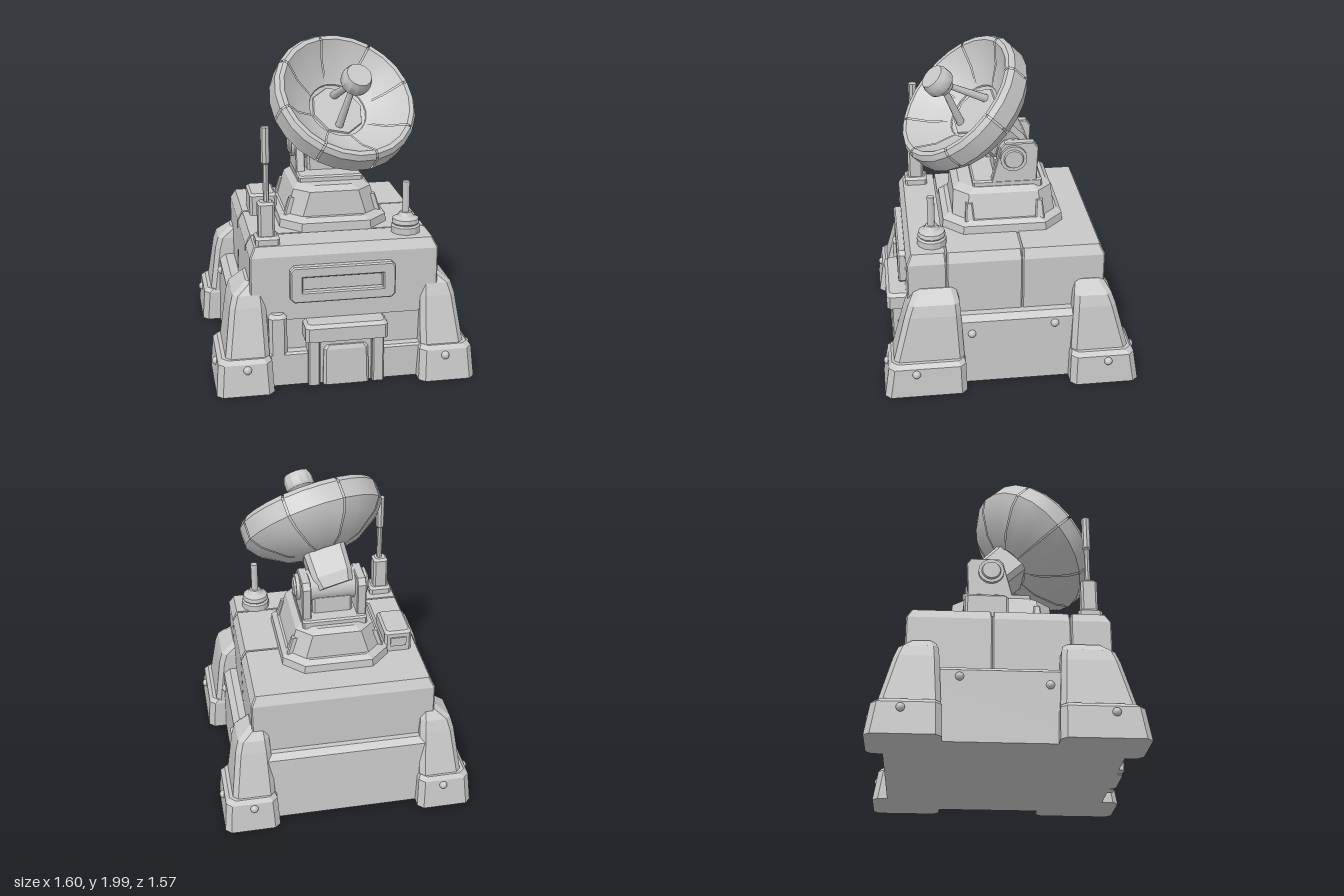
import * as THREE from 'three';
import { toCreasedNormals } from 'three/addons/utils/BufferGeometryUtils.js';

const grey = new THREE.MeshStandardMaterial({ color: 0xc8c8c8, side: THREE.DoubleSide });
grey.name = 'lightGrey';

function add(parent, name, geometry, x = 0, y = 0, z = 0) {
  const mesh = new THREE.Mesh(geometry, grey);
  mesh.name = name;
  mesh.position.set(x, y, z);
  parent.add(mesh);
  return mesh;
}

// Faceted solid through rectangles [y, xMin, xMax, zMin, zMax] with cut corners.
function loft(c, sections) {
  const rings = sections.map(([y, x0, x1, z0, z1]) => [
    [x1, z0 + c], [x1, z1 - c], [x1 - c, z1], [x0 + c, z1],
    [x0, z1 - c], [x0, z0 + c], [x0 + c, z0], [x1 - c, z0],
  ].map(([x, z]) => [x, y, z]));
  const p = [];
  for (let r = 0; r + 1 < rings.length; r++) {
    for (let i = 0; i < 8; i++) {
      const j = (i + 1) % 8, lo = rings[r], hi = rings[r + 1];
      p.push(...lo[i], ...hi[i], ...hi[j], ...lo[i], ...hi[j], ...lo[j]);
    }
  }
  const bottom = rings[0], top = rings[rings.length - 1];
  for (let i = 1; i < 7; i++) {
    p.push(...bottom[0], ...bottom[i], ...bottom[i + 1]);
    p.push(...top[0], ...top[i + 1], ...top[i]);
  }
  const g = new THREE.BufferGeometry();
  g.setAttribute('position', new THREE.Float32BufferAttribute(p, 3));
  g.computeVertexNormals();
  return g;
}

// Box with a beveled top edge.
function block(x0, x1, y0, y1, z0, z1, b = 0.012) {
  return loft(b, [[y0, x0, x1, z0, z1], [y1 - b, x0, x1, z0, z1],
    [y1, x0 + b, x1 - b, z0 + b, z1 - b]]);
}

function lathe(profile, segments, start = 0, length = Math.PI * 2) {
  const points = profile.map(([r, y]) => new THREE.Vector2(r, y));
  return toCreasedNormals(new THREE.LatheGeometry(points, segments, start, length), 0.5);
}

function bolt(parent, x, y, z) {
  add(parent, 'bolt', new THREE.SphereGeometry(0.026, 10, 8), x, y, z);
}

function rod(parent, name, from, to, r0, r1) {
  const a = new THREE.Vector3(...from), b = new THREE.Vector3(...to);
  const mesh = add(parent, name, new THREE.CylinderGeometry(r1, r0, a.distanceTo(b), 8));
  mesh.position.copy(a).add(b).multiplyScalar(0.5);
  mesh.quaternion.setFromUnitVectors(new THREE.Vector3(0, 1, 0), b.sub(a).normalize());
}

function buildBase(g) {
  add(g, 'lowerHull', loft(0.03, [[0, -0.67, 0.67, -0.69, 0.62], [0.43, -0.66, 0.66, -0.66, 0.61],
    [0.46, -0.62, 0.62, -0.62, 0.59]]));
  add(g, 'frontSkirt', block(-0.5, 0.5, 0, 0.21, 0.55, 0.68));
  // Upper hull in three panels, leaving fine seams between them
  for (const [z0, z1] of [[-0.585, -0.08], [-0.08, 0.38], [0.38, 0.62]]) {
    const end = z0 < -0.5 ? 0.03 : 0.006, front = z1 > 0.6 ? 0.03 : 0.006;
    add(g, 'upperHullPanel', loft(0.008, [[0.4, -0.565, 0.575, z0, z1],
      [0.8, -0.56, 0.575, z0, z1], [0.86, -0.53, 0.545, z0 + end, z1 - front]]));
  }
  // Corner legs and feet
  for (const s of [-1, 1]) {
    for (const [inner, outer, f] of [[0.28, 0.785, 1], [0.36, 0.785, -1]]) {
      const sec = (y, xa, xb, za, zb) => {
        const xs = [s * xa, s * xb].sort((a, b) => a - b);
        const zs = [f * za, f * zb].sort((a, b) => a - b);
        return [y, ...xs, ...zs];
      };
      add(g, 'foot', loft(0.035, [sec(0, 0.44, 0.785, inner, outer),
        sec(0.19, 0.45, 0.77, inner + 0.005, outer - 0.03),
        sec(0.215, 0.465, 0.745, inner + 0.015, outer - 0.05)]));
      add(g, 'leg', loft(0.03, [sec(0.2, 0.46, 0.725, inner + 0.01, 0.725),
        sec(0.5, 0.47, 0.685, inner + 0.025, 0.645),
        sec(0.57, 0.475, 0.665, inner + 0.03, 0.62),
        sec(0.64, 0.48, 0.58, inner + 0.05, 0.57)]));
      bolt(g, s * 0.6, 0.155, f * 0.757);
      bolt(g, s * 0.772, 0.155, f * 0.59);
    }
    bolt(g, s * 0.66, 0.35, 0.24);
    bolt(g, s * 0.66, 0.39, -0.27);
  }
}

function buildFront(g) {
  // Framed panel above the door
  const frame = new THREE.Shape();
  const w = 0.31, h = 0.105, c = 0.02;
  [[-w + c, -h], [w - c, -h], [w, -h + c], [w, h - c], [w - c, h], [-w + c, h], [-w, h - c], [-w, -h + c]]
    .forEach(([x, y], i) => (i ? frame.lineTo(x, y) : frame.moveTo(x, y)));
  frame.closePath();
  const hole = new THREE.Path();
  hole.moveTo(-0.25, -0.053).lineTo(-0.25, 0.053).lineTo(0.25, 0.053).lineTo(0.25, -0.053).closePath();
  frame.holes.push(hole);
  add(g, 'panelFrame', new THREE.ExtrudeGeometry(frame,
    { depth: 0.035, bevelThickness: 0.01, bevelSize: 0.008, bevelSegments: 1 }), -0.01, 0.63, 0.62);
  add(g, 'panelInset', new THREE.BoxGeometry(0.48, 0.09, 0.02), -0.01, 0.635, 0.622);

  // Doorway
  add(g, 'awning', block(-0.25, 0.25, 0.295, 0.4, 0.55, 0.745, 0.02));
  for (const s of [-1, 1]) add(g, 'doorPillar', block(s * 0.195 - 0.035, s * 0.195 + 0.035, 0, 0.3, 0.6, 0.715, 0.008));
  add(g, 'doorBacking', block(-0.16, 0.16, 0, 0.29, 0.6, 0.688, 0.005));
  add(g, 'door', loft(0.015, [[0, -0.14, 0.14, 0.62, 0.72], [0.225, -0.135, 0.135, 0.62, 0.71],
    [0.25, -0.115, 0.115, 0.62, 0.7]]));
  add(g, 'utilityBox', block(-0.46, -0.35, 0.19, 0.45, 0.58, 0.68, 0.02));
}

function buildRoof(g) {
  // Tall square-based antenna
  const tall = new THREE.Group();
  tall.name = 'tallAntenna';
  tall.position.set(-0.445, 0, 0.505);
  g.add(tall);
  add(tall, 'antennaFoot', block(-0.072, 0.072, 0.85, 0.91, -0.072, 0.072, 0.015));
  add(tall, 'antennaBox', block(-0.052, 0.045, 0.9, 1.115, -0.05, 0.05, 0.014));
  add(tall, 'antennaRod', lathe([[0, 1.1], [0.018, 1.1], [0.018, 1.34], [0.027, 1.35], [0.027, 1.56], [0, 1.56]], 8));

  // Short round-based antenna
  add(g, 'shortAntenna', lathe([[0.09, 0.85], [0.09, 0.9], [0.078, 0.91], [0.085, 0.92], [0.08, 0.945],
    [0.05, 0.96], [0.035, 0.985], [0.022, 0.985], [0.022, 1.175], [0, 1.175]], 12), 0.41, 0, 0.455);

  // Equipment box
  add(g, 'roofBox', block(-0.49, -0.32, 0.85, 1.0, -0.24, 0.02, 0.015));
  add(g, 'roofBoxVent', new THREE.BoxGeometry(0.1, 0.06, 0.014), -0.405, 0.93, -0.242);
}

function buildTurret(g) {
  add(g, 'turretRing', loft(0.12, [[0.85, -0.335, 0.335, -0.38, 0.375], [0.91, -0.33, 0.33, -0.375, 0.37],
    [0.935, -0.3, 0.3, -0.345, 0.335]]));
  add(g, 'turretBody', loft(0.09, [[0.92, -0.29, 0.29, -0.33, 0.31], [1.085, -0.24, 0.24, -0.31, 0.3],
    [1.115, -0.205, 0.205, -0.28, 0.26]]));
  for (const s of [-1, 1]) {
    for (const z of [-0.225, 0.21]) {
      add(g, 'turretRib', loft(0.008, [[0.92, s * 0.27 - 0.035, s * 0.27 + 0.035, z - 0.03, z + 0.03],
        [1.035, s * 0.245 - 0.025, s * 0.245 + 0.025, z - 0.02, z + 0.02]]));
    }
  }
  add(g, 'mountPlate', block(-0.2, 0.2, 1.1, 1.15, -0.25, 0.18, 0.01));

  // Yoke cheeks with round hubs
  const cheek = new THREE.Shape([[-0.065, 1.12], [0.21, 1.12], [0.22, 1.355], [0.195, 1.39], [0.02, 1.39], [-0.002, 1.365]]
    .map(([x, y]) => new THREE.Vector2(x, y)));
  for (const s of [-1, 1]) {
    const plate = new THREE.ExtrudeGeometry(cheek,
      { depth: 0.045, bevelThickness: 0.006, bevelSize: 0.006, bevelSegments: 1 });
    plate.rotateY(Math.PI / 2);
    add(g, 'yokeCheek', plate, s * 0.17 - 0.0225, 0, 0);
    const hub = add(g, 'yokeHub', lathe([[0.082, 0], [0.082, 0.03], [0.062, 0.03], [0.056, 0.042], [0, 0.042]], 16),
      s * 0.19, 1.3, -0.07);
    hub.rotation.z = -s * Math.PI / 2;
  }
  const pivot = add(g, 'pivot', new THREE.CylinderGeometry(0.1, 0.1, 0.3, 12), 0, 1.3, -0.07);
  pivot.rotation.z = Math.PI / 2;
  add(g, 'pivotBlock', block(-0.125, 0.125, 1.14, 1.27, -0.16, 0.04, 0.015));
}

function buildDish(g) {
  const dish = new THREE.Group();
  dish.name = 'dish';
  dish.position.set(0.065, 1.62, 0.215);
  dish.quaternion.setFromUnitVectors(new THREE.Vector3(0, 1, 0), new THREE.Vector3(0.215, 0.705, 0.675).normalize());
  g.add(dish);

  // Eight panels over a slightly thinner core, so the seams read as grooves
  add(dish, 'dishCore', lathe([[0, -0.235], [0.15, -0.23], [0.25, -0.2], [0.39, -0.11], [0.438, -0.045], [0.438, 0.052],
    [0.42, 0.078], [0.405, 0.078], [0.31, -0.026], [0.17, -0.1], [0, -0.1]], 24));
  const panel = [[0.14, -0.24], [0.25, -0.212], [0.395, -0.12], [0.45, -0.05], [0.45, 0.06],
    [0.428, 0.09], [0.4, 0.09], [0.3, -0.015], [0.185, -0.085], [0.18, -0.1]];
  for (let i = 0; i < 8; i++) {
    add(dish, 'dishPanel', lathe(panel, 3, (i + 0.5) * Math.PI / 4 + 0.014, Math.PI / 4 - 0.028));
  }
  add(dish, 'dishFloor', lathe([[0.17, -0.1], [0.165, -0.09], [0, -0.09]], 8, Math.PI / 8));
  add(dish, 'dishNeck', loft(0.03, [[-0.47, -0.1, 0.12, -0.1, 0.1], [-0.4, -0.115, 0.135, -0.12, 0.12],
    [-0.24, -0.125, 0.135, -0.125, 0.125], [-0.18, -0.1, 0.11, -0.1, 0.1]]));
  add(dish, 'receiver', lathe([[0, 0.155], [0.05, 0.155], [0.06, 0.18], [0.085, 0.195], [0.092, 0.21],
    [0.092, 0.255], [0.078, 0.29], [0, 0.29]], 12));

  // Struts carrying the receiver
  rod(g, 'receiverStrut', [0.04, 1.48, 0.235], [0.107, 1.76, 0.35], 0.026, 0.018);
  rod(g, 'receiverStrut', [0.035, 1.63, 0.08], [0.105, 1.76, 0.33], 0.026, 0.018);
}

export function createModel() {
  const model = new THREE.Group();
  model.name = 'radarStation';
  buildBase(model);
  buildFront(model);
  buildRoof(model);
  buildTurret(model);
  buildDish(model);
  return model;
}
